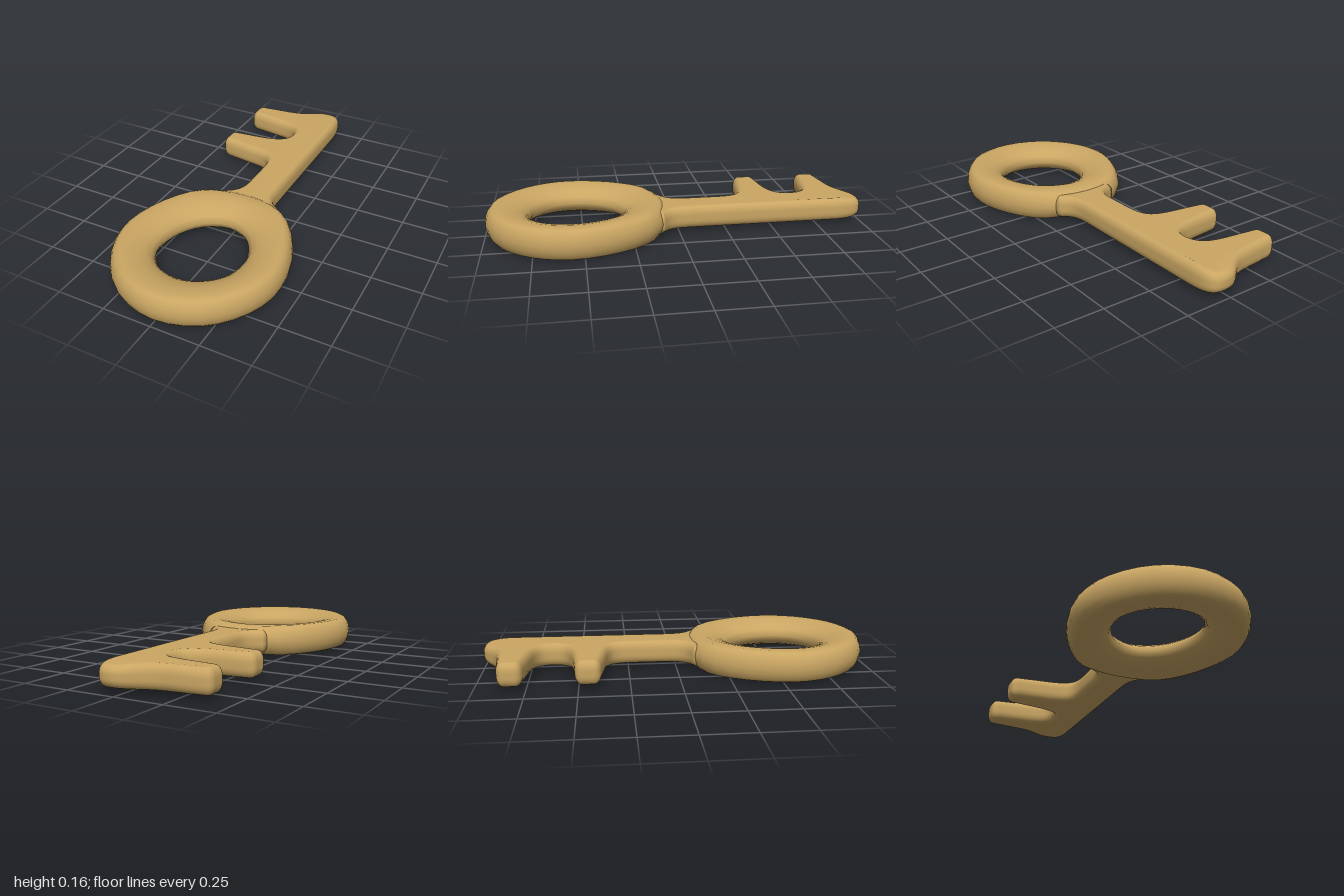
import * as THREE from 'three';
import { mergeVertices } from 'three/addons/utils/BufferGeometryUtils.js';

const MID_Y = 0.084; // height of the middle plane of the key

// Closed left-right symmetric curve in the ground plane, from its +x half
function mirroredLoop(half) {
  const pts = half.map(([x, z]) => new THREE.Vector3(x, 0, z));
  const back = pts.slice(1, -1).reverse().map((p) => new THREE.Vector3(-p.x, 0, p.z));
  return new THREE.CatmullRomCurve3([...pts, ...back], true, 'centripetal');
}

// Ring handle: a cross-section swept between the outer and inner outlines
function bowGeometry() {
  const outer = mirroredLoop([[0, 0.995], [0.22, 0.93], [0.375, 0.76], [0.43, 0.56], [0.37, 0.31], [0.23, 0.12], [0, 0.05]]);
  const inner = mirroredLoop([[0, 0.765], [0.11, 0.735], [0.19, 0.655], [0.215, 0.55], [0.19, 0.43], [0.12, 0.335], [0, 0.285]]);
  // (fraction from outer to inner edge, height above the middle plane)
  const upper = [[0, 0], [0.025, 0.032], [0.07, 0.056], [0.13, 0.073], [0.22, 0.081], [0.42, 0.079],
    [0.62, 0.069], [0.8, 0.053], [0.93, 0.032], [1, 0]];
  const section = [...upper, ...upper.slice(1, -1).reverse().map(([t, y]) => [t, -y])];
  const n = 36, m = section.length, pos = [], index = [];
  for (let i = 0; i < n; i++) {
    const a = outer.getPoint(i / n), b = inner.getPoint(i / n);
    section.forEach(([t, y], j) => {
      const p = a.clone().lerp(b, t);
      // thinner where the ring runs into the shaft
      const s = 0.75 + 0.25 * THREE.MathUtils.smoothstep(p.z, 0.03, 0.17);
      pos.push(p.x, y * s, p.z);
      const i2 = (i + 1) % n, j2 = (j + 1) % m;
      index.push(i * m + j, i2 * m + j, i2 * m + j2, i * m + j, i2 * m + j2, i * m + j2);
    });
  }
  const g = new THREE.BufferGeometry();
  g.setAttribute('position', new THREE.Float32BufferAttribute(pos, 3));
  g.setIndex(index);
  g.computeVertexNormals();
  return g;
}

// Shaft with two teeth: rounded extrusion of its outline (x, z)
function shaftGeometry() {
  const s = new THREE.Shape();
  s.moveTo(-0.13, 0.17);
  s.lineTo(-0.17, 0.085);
  s.bezierCurveTo(-0.1, 0.06, -0.065, 0.03, -0.065, -0.06);
  s.lineTo(-0.065, -0.22);
  s.bezierCurveTo(-0.065, -0.33, -0.09, -0.352, -0.2, -0.367);
  // first tooth
  s.lineTo(-0.365, -0.39);
  s.quadraticCurveTo(-0.405, -0.395, -0.405, -0.43);
  s.lineTo(-0.405, -0.475);
  s.quadraticCurveTo(-0.405, -0.513, -0.365, -0.517);
  s.lineTo(-0.22, -0.532);
  // gap between the teeth
  s.bezierCurveTo(-0.11, -0.545, -0.07, -0.575, -0.07, -0.635);
  s.bezierCurveTo(-0.07, -0.705, -0.11, -0.727, -0.2, -0.74);
  // second tooth
  s.lineTo(-0.365, -0.762);
  s.quadraticCurveTo(-0.405, -0.768, -0.405, -0.803);
  s.lineTo(-0.405, -0.845);
  s.quadraticCurveTo(-0.405, -0.882, -0.365, -0.887);
  s.lineTo(-0.2, -0.905);
  // tip
  s.bezierCurveTo(-0.06, -0.92, -0.07, -1, 0.025, -1);
  s.bezierCurveTo(0.1, -1, 0.115, -0.96, 0.115, -0.85);
  s.lineTo(0.115, -0.06);
  s.bezierCurveTo(0.115, 0.03, 0.13, 0.06, 0.19, 0.095);
  s.lineTo(0.15, 0.17);
  const half = 0.06, bevel = 0.045;
  let g = new THREE.ExtrudeGeometry(s, {
    depth: 2 * (half - bevel), bevelThickness: bevel, bevelSize: 0.03, bevelOffset: -0.03,
    bevelSegments: 5, curveSegments: 9,
  });
  g.translate(0, 0, bevel - half);
  g.rotateX(Math.PI / 2);
  // thin the tip slightly
  const p = g.attributes.position;
  for (let i = 0; i < p.count; i++) {
    const t = THREE.MathUtils.clamp((-p.getZ(i) - 0.85) / 0.15, 0, 1);
    p.setY(i, p.getY(i) * (1 - 0.25 * t * t));
  }
  g.deleteAttribute('normal');
  g.deleteAttribute('uv');
  g = mergeVertices(g, 1e-4);
  g.computeVertexNormals();
  return g;
}

export function createModel() {
  const brass = new THREE.MeshStandardMaterial({ color: 0xcaa663 });
  brass.name = 'brass';
  const key = new THREE.Group();
  key.name = 'key';
  const parts = { bow: bowGeometry(), shaftAndTeeth: shaftGeometry() };
  for (const [name, geometry] of Object.entries(parts)) {
    const mesh = new THREE.Mesh(geometry, brass);
    mesh.name = name;
    mesh.position.y = MID_Y;
    key.add(mesh);
  }
  return key;
}
